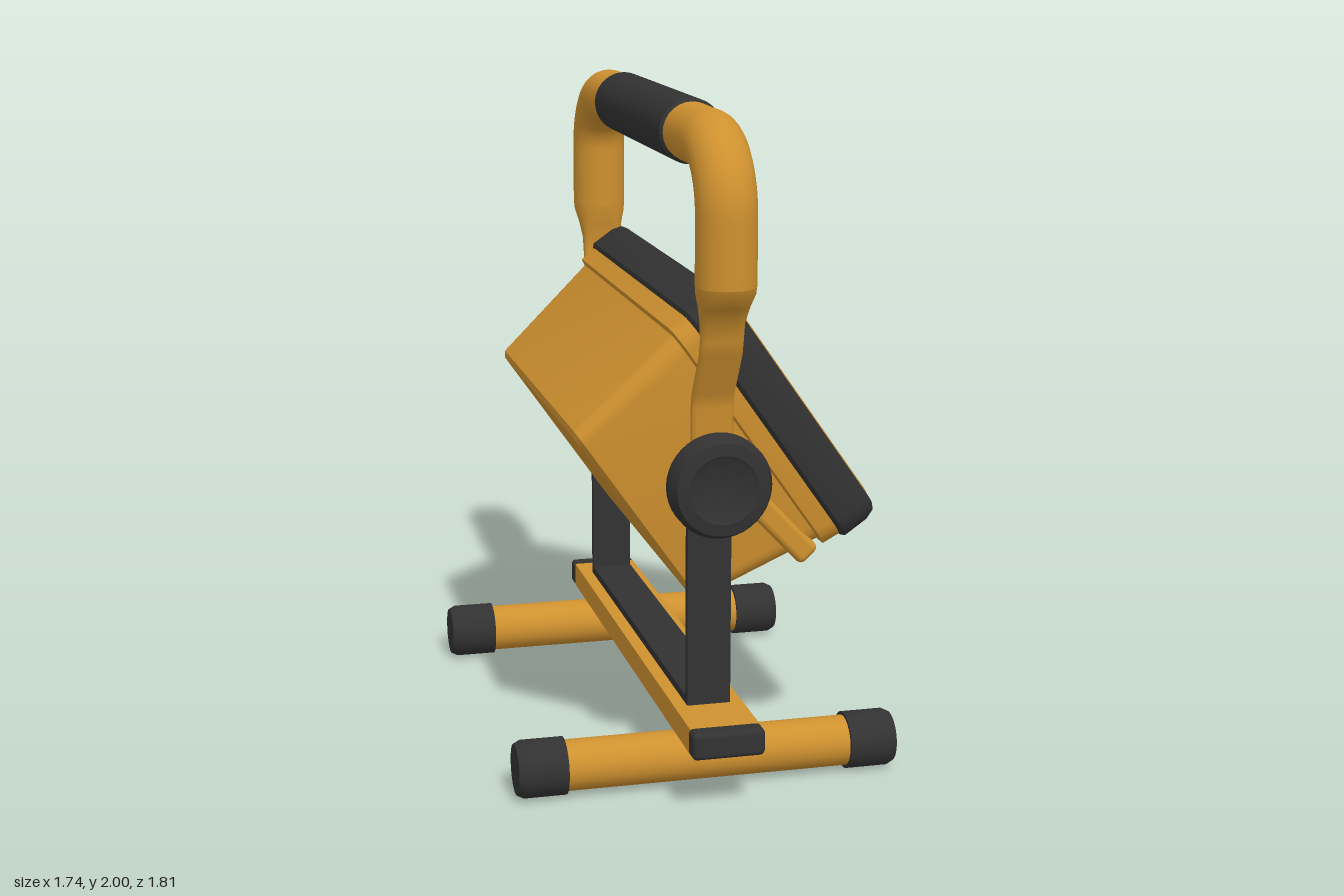
import * as THREE from 'three';
import { toCreasedNormals } from 'three/addons/utils/BufferGeometryUtils.js';
import { RoundedBoxGeometry } from 'three/addons/geometries/RoundedBoxGeometry.js';

const amber = new THREE.MeshStandardMaterial({ color: 0xcf912f });
amber.name = 'amber paint';
const black = new THREE.MeshStandardMaterial({ color: 0x323232 });
black.name = 'black rubber';

function add(parent, name, geometry, material, x = 0, y = 0, z = 0) {
  const mesh = new THREE.Mesh(geometry, material);
  mesh.name = name;
  mesh.position.set(x, y, z);
  parent.add(mesh);
  return mesh;
}

// Counter-clockwise rounded rectangle, always 24 points
function roundedRing(hx, hy, r) {
  const pts = [];
  [[1, 1], [-1, 1], [-1, -1], [1, -1]].forEach(([sx, sy], q) => {
    for (let i = 0; i < 6; i++) {
      const a = (q + i / 5) * Math.PI / 2;
      pts.push([sx * (hx - r) + r * Math.cos(a), sy * (hy - r) + r * Math.sin(a)]);
    }
  });
  return pts;
}

// Closed skin over a row of equal-length rings
function loft(rings) {
  const n = rings[0].length, last = rings.length - 1;
  const pos = rings.flat(2), index = [];
  for (let i = 0; i < last; i++) {
    for (let j = 0; j < n; j++) {
      const a = i * n + j, b = i * n + (j + 1) % n;
      index.push(a, b, b + n, a, b + n, a + n);
    }
  }
  for (let j = 1; j < n - 1; j++) {
    index.push(0, j + 1, j, last * n, last * n + j, last * n + j + 1);
  }
  const g = new THREE.BufferGeometry();
  g.setAttribute('position', new THREE.Float32BufferAttribute(pos, 3));
  g.setIndex(index);
  return toCreasedNormals(g, 0.6);
}

// Sections [z, halfWidth, halfHeight, cornerRadius] along z, back to front
const loftZ = (sections) => loft(sections.map(([z, hx, hy, r]) =>
  roundedRing(hx, hy, r).map(([x, y]) => [x, y, z])));

// Sections [y, centreX, halfX, halfZ, cornerRadius] along y, upwards
const loftY = (sections) => loft(sections.map(([y, cx, hx, hz, r]) =>
  roundedRing(hz, hx, r).map(([z, x]) => [cx + x, y, z])));

const lathe = (points) => toCreasedNormals(
  new THREE.LatheGeometry(points.map(([r, y]) => new THREE.Vector2(r, y)), 40), 0.6);

function buildStand() {
  const stand = new THREE.Group();
  stand.name = 'stand';
  // Two round feet with rubber ends
  const tube = new THREE.CylinderGeometry(0.075, 0.075, 1.0, 32).rotateX(Math.PI / 2);
  const cap = lathe([[0, 0], [0.085, 0], [0.085, 0.125], [0.075, 0.145], [0, 0.145]]);
  for (const x of [-0.633, 0.633]) {
    add(stand, 'footTube', tube, amber, x, 0.085, 0);
    for (const s of [-1, 1]) {
      add(stand, 'footCap', cap, black, x, 0.085, s * 0.427).rotation.x = s * Math.PI / 2;
    }
  }
  // Flat crossbar with end caps
  add(stand, 'crossbar', new THREE.BoxGeometry(1.62, 0.076, 0.206), amber, -0.035, 0.21, 0);
  for (const s of [-1, 1]) {
    add(stand, 'crossbarCap', new RoundedBoxGeometry(0.065, 0.08, 0.214, 3, 0.015), black,
      -0.035 + s * 0.835, 0.21, 0);
  }
  // U bracket: base strip and round-topped uprights
  add(stand, 'bracketBase', new THREE.BoxGeometry(1.334, 0.025, 0.13), black, 0, 0.262, 0);
  const shape = new THREE.Shape();
  shape.moveTo(-0.065, 0.25);
  shape.lineTo(0.065, 0.25);
  shape.lineTo(0.065, 0.94);
  shape.absarc(0, 0.94, 0.065, 0, Math.PI, false);
  const upright = new THREE.ExtrudeGeometry(shape, { depth: 0.024, bevelEnabled: false })
    .translate(0, 0, -0.012).rotateY(Math.PI / 2);
  for (const s of [-1, 1]) add(stand, 'bracketUpright', upright, black, s * 0.655, 0, 0);
  return stand;
}

function buildHandle() {
  const handle = new THREE.Group();
  handle.name = 'handle';
  const X = 0.825, Y = 1.902, R = 0.19, k = R * 0.45;
  const v = (x, y) => new THREE.Vector3(x, y, 0);
  const path = new THREE.CurvePath();
  path.add(new THREE.LineCurve3(v(-X, 1.52), v(-X, Y - R)));
  path.add(new THREE.CubicBezierCurve3(v(-X, Y - R), v(-X, Y - k), v(-X + k, Y), v(-X + R, Y)));
  path.add(new THREE.LineCurve3(v(-X + R, Y), v(X - R, Y)));
  path.add(new THREE.CubicBezierCurve3(v(X - R, Y), v(X - k, Y), v(X, Y - k), v(X, Y - R)));
  path.add(new THREE.LineCurve3(v(X, Y - R), v(X, 1.52)));
  add(handle, 'handleTube', new THREE.TubeGeometry(path, 100, 0.086, 28, false), amber);
  add(handle, 'grip', lathe([[0.085, -0.445], [0.095, -0.435], [0.095, 0.435], [0.085, 0.445]])
    .rotateZ(Math.PI / 2), black, 0, Y, 0);

  // Flattened legs, pivot bosses and knobs on both sides
  const leg = loftY([
    [0.86, 0.685, 0.015, 0.045, 0.014], [0.9, 0.685, 0.015, 0.062, 0.014],
    [1.15, 0.685, 0.015, 0.062, 0.014], [1.19, 0.695, 0.016, 0.062, 0.014],
    [1.32, 0.775, 0.018, 0.062, 0.016], [1.36, 0.785, 0.02, 0.062, 0.018],
    [1.41, 0.79, 0.027, 0.064, 0.026], [1.46, 0.806, 0.055, 0.073, 0.054],
    [1.5, 0.821, 0.08, 0.084, 0.079], [1.53, 0.825, 0.086, 0.086, 0.0859],
  ]);
  const knob = lathe([[0, 0], [0.05, 0], [0.05, 0.035], [0.135, 0.035], [0.15, 0.05],
    [0.15, 0.09], [0.135, 0.122], [0.1, 0.128], [0.09, 0.122], [0, 0.122]])
    .rotateZ(-Math.PI / 2);
  for (const turn of [0, Math.PI]) {
    const side = new THREE.Group();
    side.name = 'handleSide';
    side.rotation.y = turn;
    add(side, 'handleLeg', leg, amber);
    add(side, 'knob', knob, black, 0.698, 0.94, 0);
    handle.add(side);
  }
  return handle;
}

function buildLamp() {
  const lamp = new THREE.Group();
  lamp.name = 'lampHead';
  lamp.position.set(0, 1.138, 0.278);
  lamp.rotation.x = -0.61;
  // Tapered housing with a lip behind the frame
  add(lamp, 'housing', loftZ([
    [-0.588, 0.59, 0.305, 0.03], [-0.575, 0.608, 0.322, 0.045],
    [-0.19, 0.648, 0.385, 0.06], [-0.185, 0.67, 0.405, 0.07], [-0.12, 0.675, 0.41, 0.07],
  ]), amber);
  add(lamp, 'frame', loftZ([
    [-0.13, 0.685, 0.41, 0.07], [-0.12, 0.696, 0.42, 0.08], [-0.04, 0.696, 0.42, 0.08],
    [-0.01, 0.685, 0.41, 0.07], [0, 0.668, 0.393, 0.055],
  ]), black);
  add(lamp, 'frontPanel', loftZ([
    [-0.01, 0.645, 0.37, 0.03], [0.002, 0.645, 0.37, 0.03], [0.007, 0.632, 0.357, 0.025],
  ]), amber);
  // Slanted rib on each flank, running from the pivot to the lower front
  for (const s of [-1, 1]) {
    const rib = add(lamp, 'sideRib', new RoundedBoxGeometry(0.05, 0.34, 0.075, 3, 0.02), amber,
      s * 0.627, -0.235, -0.265);
    rib.rotation.x = -0.15;
  }
  return lamp;
}

export function createModel() {
  const model = new THREE.Group();
  model.name = 'workLight';
  model.add(buildStand(), buildHandle(), buildLamp());
  model.rotation.y = 0.983;
  const root = new THREE.Group();
  root.name = 'root';
  root.add(model);
  return root;
}
